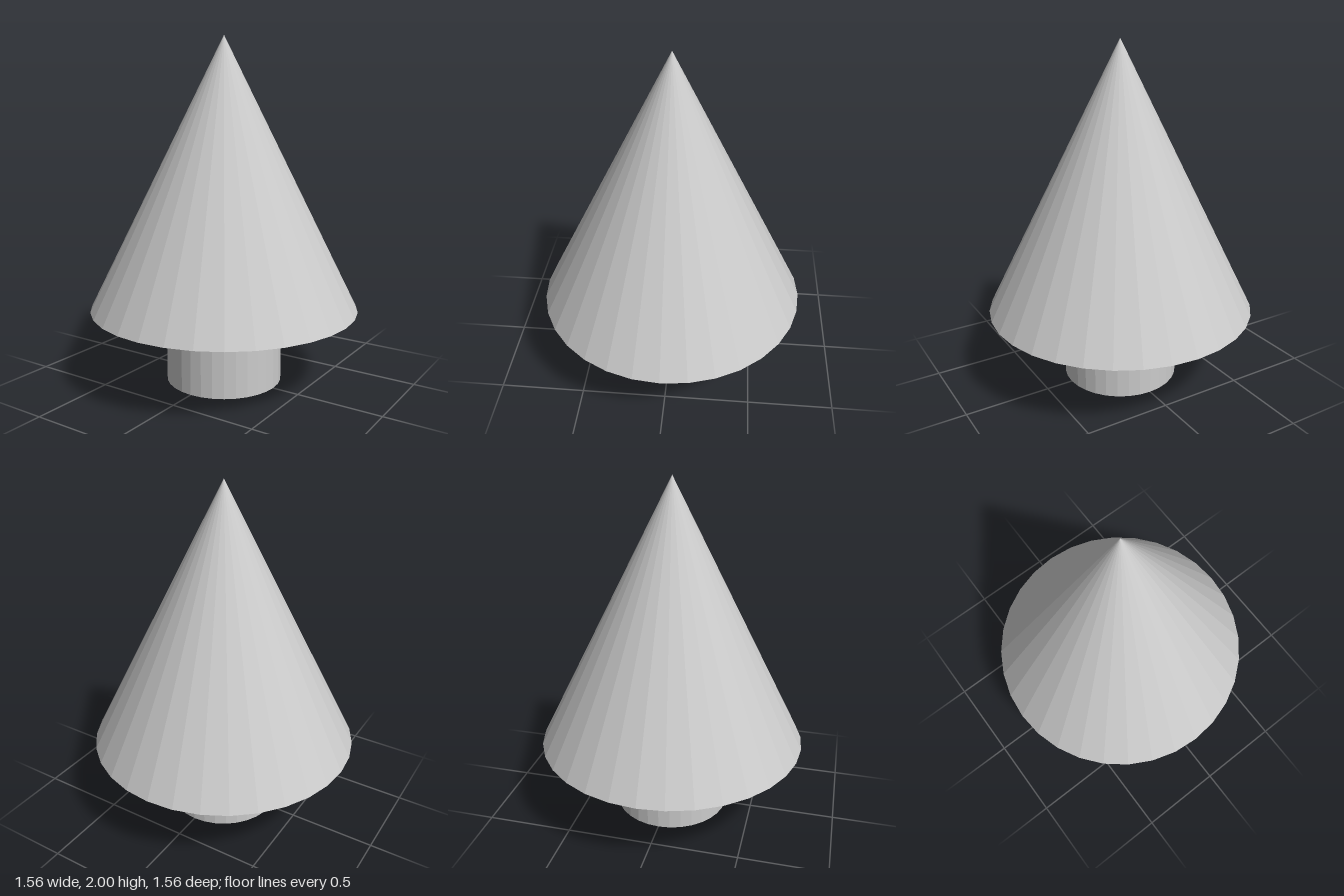
import * as THREE from 'three';

const SIDES = 32;
const TRUNK_HEIGHT = 0.44;
const TOTAL_HEIGHT = 2;

export function createModel() {
  const tree = new THREE.Group();
  tree.name = 'tree';
  const material = new THREE.MeshStandardMaterial({ color: 0xcccccc, flatShading: true });

  // Adds a part whose base rests at the given height
  const addPart = (name, geometry, height, baseY) => {
    const mesh = new THREE.Mesh(geometry, material);
    mesh.name = name;
    mesh.position.y = baseY + height / 2;
    tree.add(mesh);
  };

  // Short round trunk
  addPart('trunk', new THREE.CylinderGeometry(0.34, 0.34, TRUNK_HEIGHT, SIDES), TRUNK_HEIGHT, 0);

  // Conical foliage with a closed underside
  const foliageHeight = TOTAL_HEIGHT - TRUNK_HEIGHT;
  addPart('foliage', new THREE.ConeGeometry(0.78, foliageHeight, SIDES), foliageHeight, TRUNK_HEIGHT);

  return tree;
}
